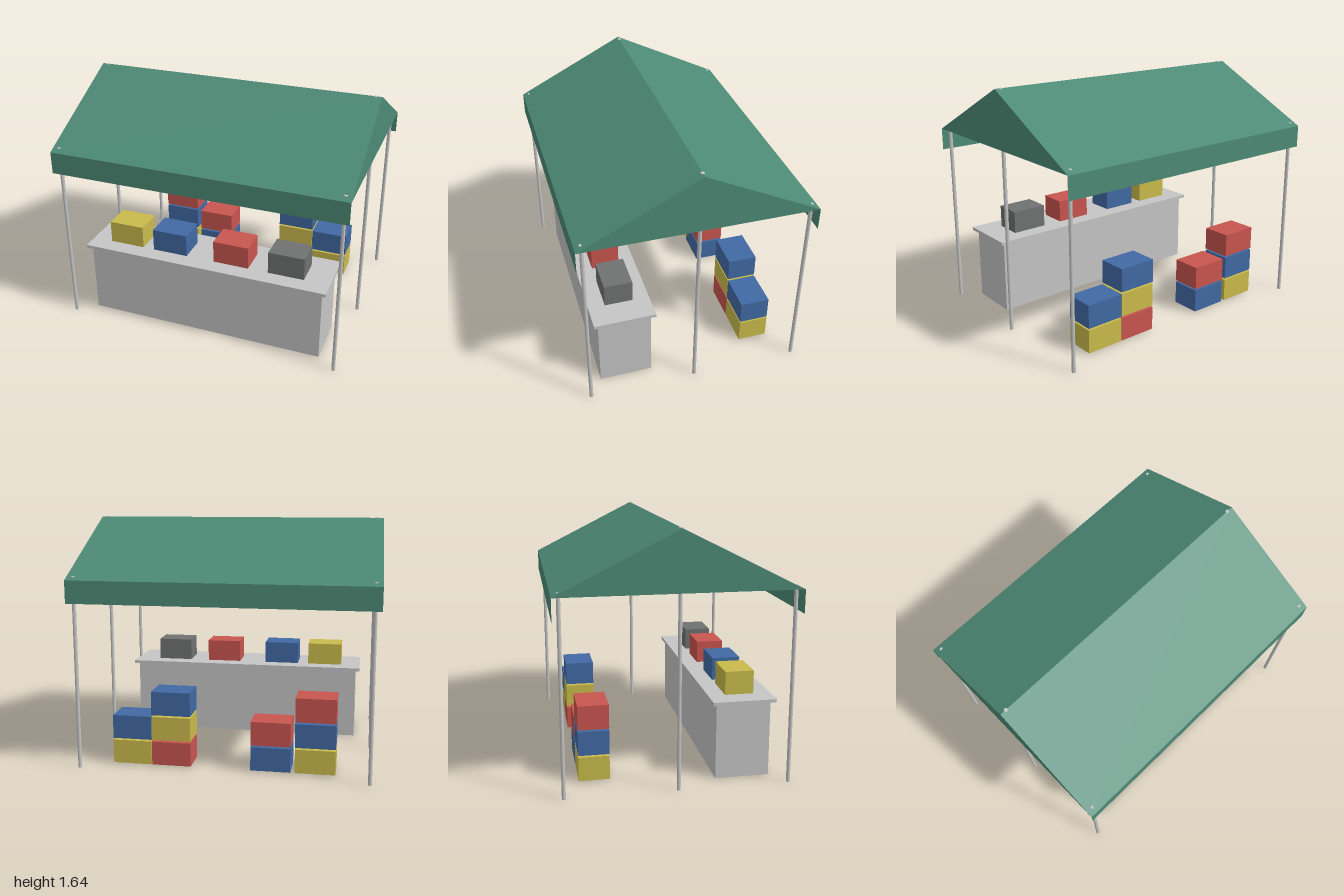
import * as THREE from 'three';

const mat = (name, color, side = THREE.FrontSide) => {
  const m = new THREE.MeshStandardMaterial({ color, side });
  m.name = name;
  return m;
};

export function createModel() {
  const green = mat('green canvas', 0x4d8a76, THREE.DoubleSide);
  const counterGrey = mat('light grey', 0xc5c5c5);
  const yellow = mat('yellow', 0xcabb4c);
  const blue = mat('blue', 0x416aa4);
  const red = mat('red', 0xc9554f);
  const darkGrey = mat('dark grey', 0x707272);

  const model = new THREE.Group();
  model.name = 'marketStall';

  const add = (parent, name, geometry, material, x = 0, y = 0, z = 0) => {
    const mesh = new THREE.Mesh(geometry, material);
    mesh.name = name;
    mesh.position.set(x, y, z);
    parent.add(mesh);
    return mesh;
  };
  const group = (name) => {
    const g = new THREE.Group();
    g.name = name;
    model.add(g);
    return g;
  };

  // Canopy: thin sheet with front valance, two slopes and back valance
  const EAVE = 1.26, RIDGE = 1.64, DEPTH = 0.76, DROP = 1.11;
  const canopy = group('canopy');
  const panel = (name, [z0, y0], [z1, y1]) => {
    const g = new THREE.BufferGeometry();
    g.setAttribute('position', new THREE.Float32BufferAttribute(
      [-1, y0, z0, 1, y0, z0, 1, y1, z1, -1, y1, z1], 3));
    g.setIndex([0, 1, 2, 0, 2, 3]);
    g.computeVertexNormals();
    add(canopy, name, g, green);
  };
  panel('frontValance', [DEPTH, DROP], [DEPTH, EAVE]);
  panel('frontSlope', [DEPTH, EAVE], [0, RIDGE]);
  panel('backSlope', [0, RIDGE], [-DEPTH, EAVE]);
  panel('backValance', [-DEPTH, EAVE], [-DEPTH, DROP]);

  // Gable ends
  const triangle = new THREE.Shape([
    new THREE.Vector2(-DEPTH, EAVE), new THREE.Vector2(DEPTH, EAVE), new THREE.Vector2(0, RIDGE),
  ]);
  for (const s of [1, -1]) {
    const gable = add(canopy, s > 0 ? 'leftGable' : 'rightGable',
      new THREE.ShapeGeometry(triangle), green, s, 0, 0);
    gable.rotation.y = s * Math.PI / 2;
  }

  // Poles: their tips just break through the canvas
  const poles = group('poles');
  for (const x of [-0.957, 0.957]) {
    for (const z of [-0.717, 0, 0.717]) {
      const h = z === 0 ? RIDGE + 0.001 : 1.283;
      add(poles, 'pole', new THREE.CylinderGeometry(0.0125, 0.0125, h, 12), counterGrey, x, h / 2, z);
    }
  }

  // Counter
  const counter = group('counter');
  add(counter, 'counterBody', new THREE.BoxGeometry(1.665, 0.505, 0.356), counterGrey, 0, 0.2525, 0.447);
  add(counter, 'counterTop', new THREE.BoxGeometry(1.725, 0.022, 0.414), counterGrey, 0, 0.515, 0.448);

  // Boxes on the counter
  const goods = group('counterBoxes');
  const boxes = [[-0.598, yellow], [-0.27, blue], [0.176, red], [0.563, darkGrey]];
  for (const [x, material] of boxes) {
    add(goods, 'counterBox', new THREE.BoxGeometry(0.248, 0.155, 0.19), material, x, 0.6035, 0.448);
  }

  // Stacked crates at the back, colours listed from the bottom up
  const crates = group('crateStacks');
  const stacks = [
    [0.358, [red, yellow, blue]],
    [0.625, [yellow, blue]],
    [-0.603, [yellow, blue, red]],
    [-0.31, [blue, red]],
  ];
  for (const [x, colours] of stacks) {
    colours.forEach((material, i) => {
      add(crates, 'crate', new THREE.BoxGeometry(0.264, 0.16, 0.201), material, x, 0.087 + i * 0.172, -0.506);
    });
  }

  return model;
}
